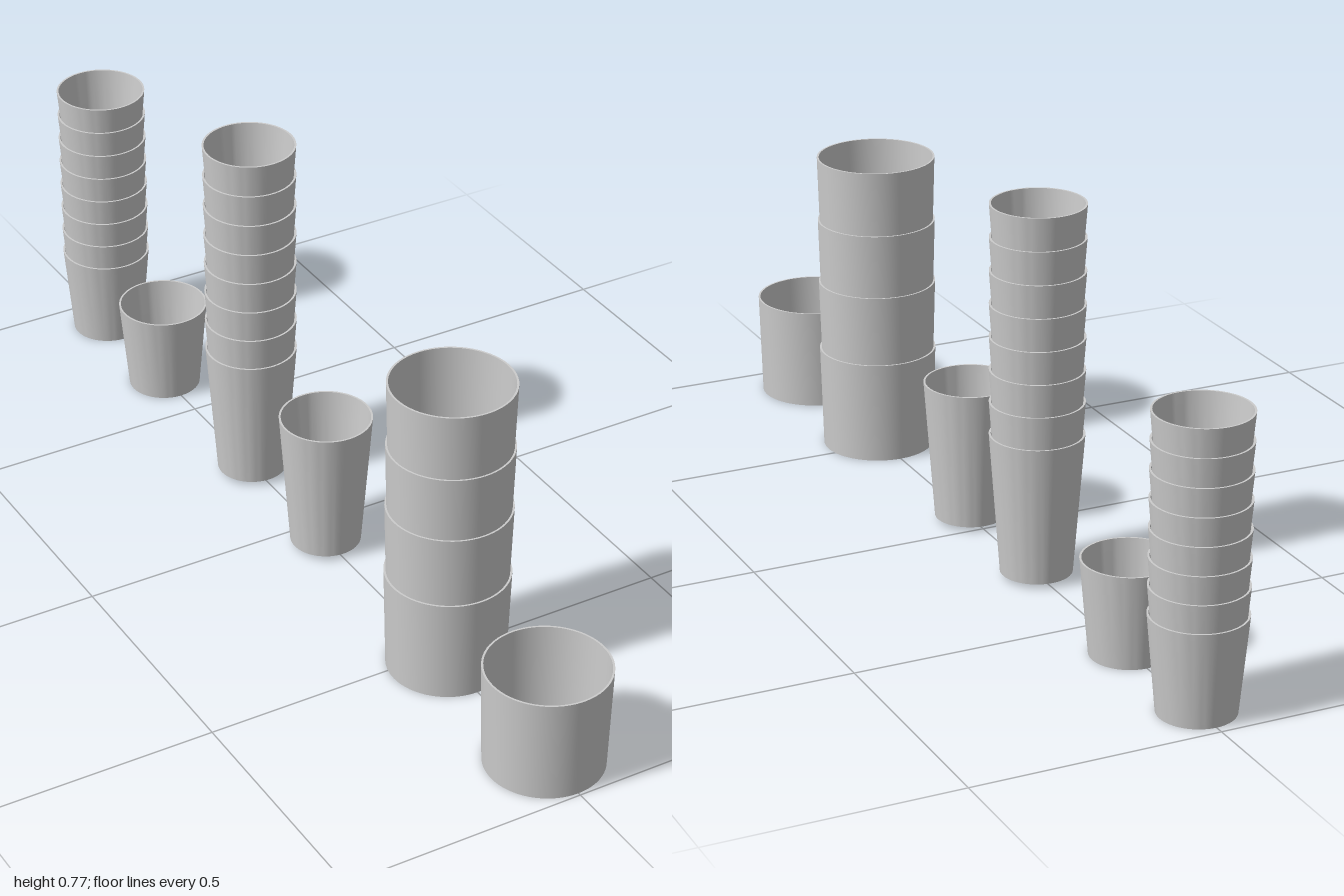
import * as THREE from 'three';
import { toCreasedNormals } from 'three/addons/utils/BufferGeometryUtils.js';

const material = new THREE.MeshStandardMaterial({ color: 0xcccccc, side: THREE.DoubleSide });

// Open tapered cup with a thin wall and floor, standing on y = 0
function cupGeometry({ bottom, top, height, wall }) {
  const profile = [
    [0, 0], [bottom, 0], [top, height],
    [top - wall, height], [bottom - wall, wall], [0, wall],
  ].map(([r, y]) => new THREE.Vector2(r, y));
  return toCreasedNormals(new THREE.LatheGeometry(profile, 64), 0.6);
}

// Nested cups, one mesh for each base height
function cupStack(name, geometry, z, bases) {
  const stack = new THREE.Group();
  stack.name = name;
  bases.forEach((y, i) => {
    const cup = new THREE.Mesh(geometry, material);
    cup.name = `${name}Cup${i + 1}`;
    cup.position.y = y;
    stack.add(cup);
  });
  stack.position.z = z;
  return stack;
}

const steps = (count, start, step) => Array.from({ length: count }, (_, i) => start + i * step);

export function createModel() {
  const wide = cupGeometry({ bottom: 0.117, top: 0.123, height: 0.217, wall: 0.004 });
  const tall = cupGeometry({ bottom: 0.072, top: 0.094, height: 0.29, wall: 0.004 });
  const short = cupGeometry({ bottom: 0.076, top: 0.094, height: 0.195, wall: 0.004 });

  const model = new THREE.Group();
  model.name = 'cups';
  model.add(
    // Wide cups
    cupStack('wideSingle', wide, 0.877, [0]),
    cupStack('wideStack', wide, 0.527, [0, 0.15, 0.286, 0.423]),
    // Tall cups
    cupStack('tallSingle', tall, 0.062, [0.01]),
    cupStack('tallStack', tall, -0.245, steps(8, 0.01, 0.0671)),
    // Short cups
    cupStack('shortSingle', short, -0.638, [0]),
    cupStack('shortStack', short, -0.906 + 0.0, steps(8, 0, 0.0561)),
  );
  return model;
}
